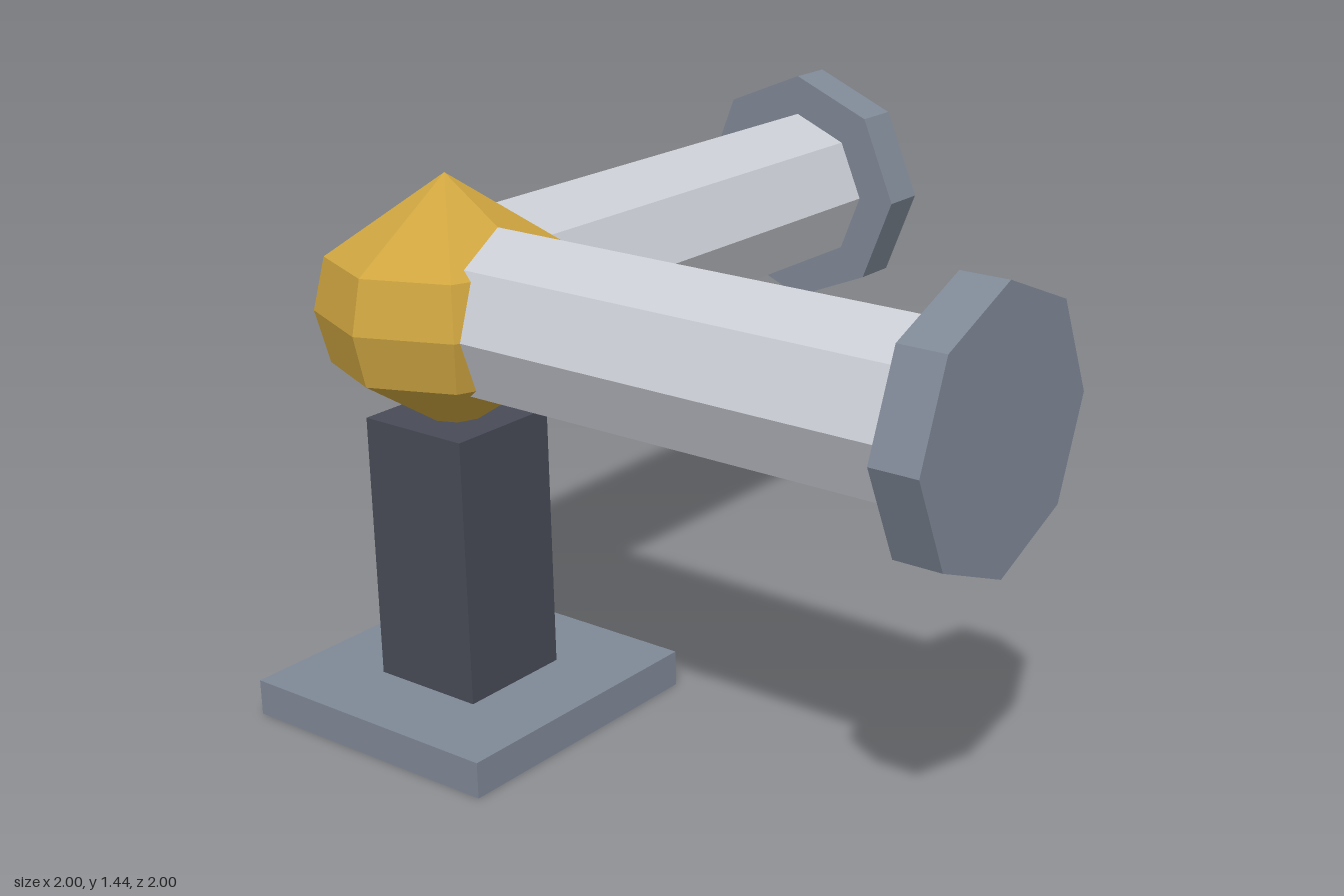
import * as THREE from 'three';

const flat = (name, color) => {
  const m = new THREE.MeshStandardMaterial({ color, flatShading: true });
  m.name = name;
  return m;
};

export function createModel() {
  const steel = flat('blue grey steel', 0x7f8896);
  const dark = flat('dark steel', 0x484b57);
  const silver = flat('silver', 0xcbced5);
  const gold = flat('gold', 0xcfa540);

  const C = -0.613; // post axis in x and z
  const H = 1.1; // pipe axis height
  const model = new THREE.Group();
  model.name = 'cornerPipe';

  const add = (parent, name, geometry, material, x, y, z) => {
    const mesh = new THREE.Mesh(geometry, material);
    mesh.name = name;
    mesh.position.set(x, y, z);
    parent.add(mesh);
    return mesh;
  };

  // Stand
  add(model, 'basePlate', new THREE.BoxGeometry(0.774, 0.097, 0.774), steel, C, 0.0485, C);
  add(model, 'post', new THREE.BoxGeometry(0.322, 0.713, 0.322), dark, C, 0.4535, C);

  // Faceted ball at the corner joint
  const profile = [[0, -0.338], [0.305, -0.137], [0.338, 0], [0.305, 0.137], [0, 0.338]]
    .map(([r, y]) => new THREE.Vector2(r, y));
  add(model, 'cornerBall', new THREE.LatheGeometry(profile, 8), gold, C, H, C);

  // Two octagonal arms with end flanges, built along +y and then laid down
  const flangeDepth = 0.126;
  const pipeLength = 1 - C - flangeDepth;
  const arm = (name) => {
    const g = new THREE.Group();
    g.name = name;
    add(g, 'pipe', new THREE.CylinderGeometry(0.225, 0.225, pipeLength, 8), silver, 0, pipeLength / 2, 0);
    add(g, 'endFlange', new THREE.CylinderGeometry(0.338, 0.338, flangeDepth, 8), steel,
      0, pipeLength + flangeDepth / 2, 0);
    g.position.set(C, H, C);
    model.add(g);
    return g;
  };
  arm('leftArm').rotation.z = -Math.PI / 2;
  arm('frontArm').rotation.x = Math.PI / 2;

  return model;
}
